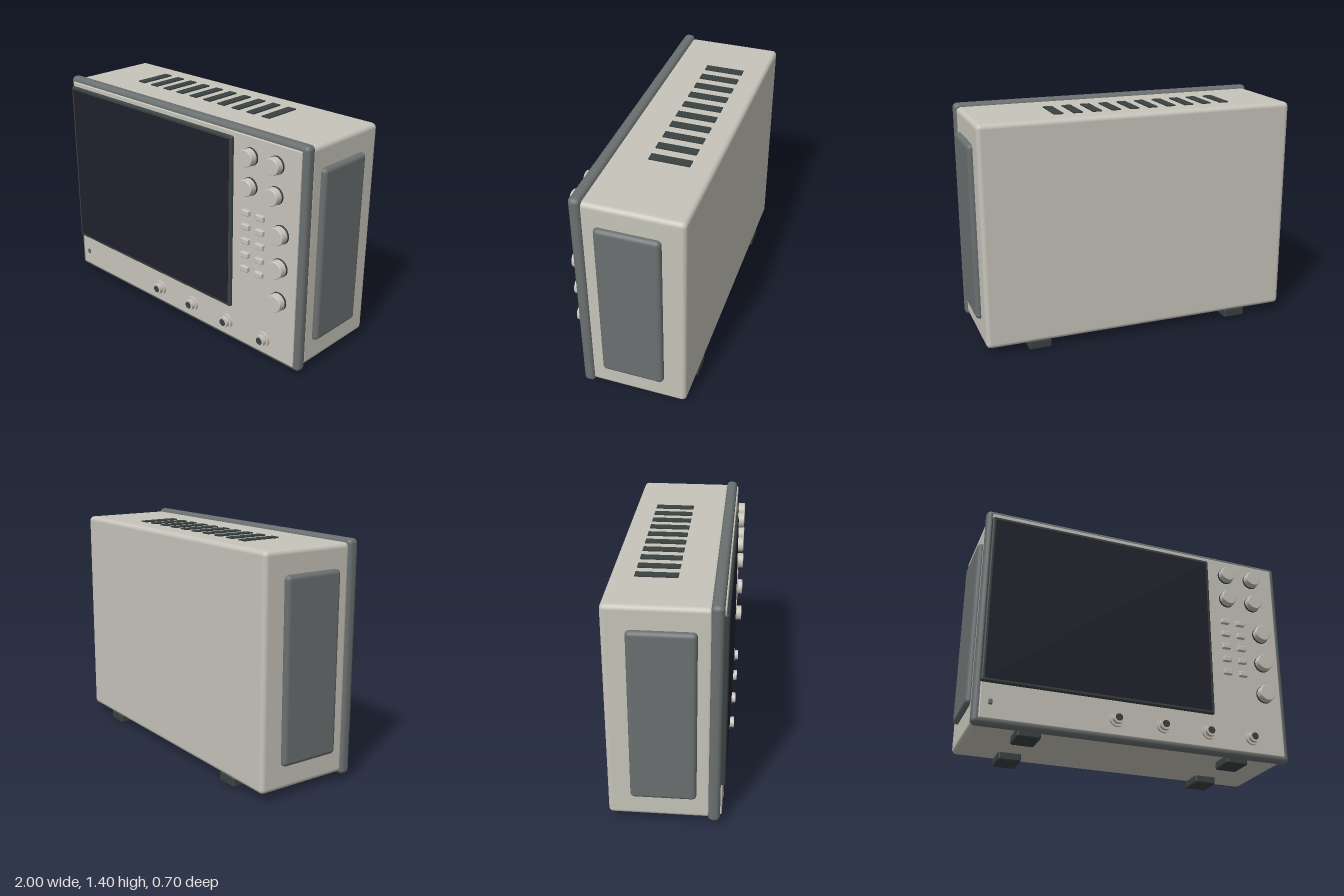
import * as THREE from 'three';
import { RoundedBoxGeometry } from 'three/addons/geometries/RoundedBoxGeometry.js';

const paint = (name, color) => {
  const m = new THREE.MeshStandardMaterial({ color });
  m.name = name;
  return m;
};

export function createModel() {
  const casing = paint('warm grey casing', 0xc6c4ba);
  const trim = paint('mid grey trim', 0x6a6f6f);
  const dark = paint('charcoal rubber', 0x3a4141);
  const glass = paint('dark screen glass', 0x20202d);

  const root = new THREE.Group();
  root.name = 'benchInstrument';

  const add = (parent, name, geometry, material, x, y, z) => {
    const mesh = new THREE.Mesh(geometry, material);
    mesh.name = name;
    mesh.position.set(x, y, z);
    parent.add(mesh);
    return mesh;
  };

  // Softened box given by its limits on each axis
  const block = (name, material, [x0, x1], [y0, y1], [z0, z1], radius) =>
    add(root, name, new RoundedBoxGeometry(x1 - x0, y1 - y0, z1 - z0, 3, radius), material,
      (x0 + x1) / 2, (y0 + y1) / 2, (z0 + z1) / 2);

  // Turned part facing +z, from [radius, z] profile points, with crisp steps
  const turned = (parent, name, material, profile) => {
    const g = new THREE.Group();
    g.name = name;
    for (let i = 0; i < profile.length - 1; i++) {
      const pts = [profile[i], profile[i + 1]].map(([r, z]) => new THREE.Vector2(r, z));
      const geo = new THREE.LatheGeometry(pts, 32).rotateX(Math.PI / 2);
      add(g, name + 'Face', geo, material, 0, 0, 0);
    }
    parent.add(g);
    return g;
  };

  // Main casing, front surround and front panel
  block('casing', casing, [-0.97, 0.97], [0.047, 1.38], [-0.348, 0.24], 0.028);
  block('frontSurround', trim, [-0.984, 0.984], [0.03, 1.4], [0.222, 0.291], 0.028);
  block('frontPanel', casing, [-0.948, 0.948], [0.06, 1.37], [0.25, 0.3], 0.006);

  // Display
  block('screenBezel', dark, [-0.953, 0.476], [0.27, 1.342], [0.28, 0.317], 0.012);
  add(root, 'screenGlass', new THREE.BoxGeometry(1.388, 1.032, 0.004), glass, -0.238, 0.806, 0.3165);

  // Rotary knobs on dark collars: [x, y, radius]
  const knobs = [
    [0.603, 1.257, 0.05], [0.786, 1.257, 0.05],
    [0.603, 1.083, 0.05], [0.786, 1.083, 0.05],
    [0.832, 0.866, 0.053], [0.832, 0.663, 0.053], [0.832, 0.452, 0.053],
  ];
  for (const [x, y, r] of knobs) {
    const knob = new THREE.Group();
    knob.name = 'knob';
    knob.position.set(x, y, 0);
    turned(knob, 'knobCollar', dark, [[r + 0.002, 0.295], [r + 0.002, 0.311], [0, 0.311]]);
    turned(knob, 'knobCap', casing,
      [[r, 0.31], [r - 0.002, 0.349], [r - 0.005, 0.352], [0, 0.352]]);
    root.add(knob);
  }

  // Two columns of push buttons
  for (const x of [0.581, 0.687])
    for (let row = 0; row < 5; row++) {
      const y = 0.92 - row * 0.088;
      block('pushButton', casing, [x - 0.028, x + 0.028], [y - 0.017, y + 0.017], [0.29, 0.322], 0.006);
    }

  // Coaxial input sockets along the bottom edge
  for (const x of [-0.15, 0.142, 0.435, 0.727]) {
    const socket = new THREE.Group();
    socket.name = 'inputSocket';
    socket.position.set(x, 0.157, 0);
    turned(socket, 'socketBody', casing,
      [[0.047, 0.295], [0.047, 0.315], [0.035, 0.315], [0.035, 0.34], [0.022, 0.34]]);
    turned(socket, 'socketCore', dark, [[0.023, 0.338], [0.022, 0.341], [0, 0.341]]);
    root.add(socket);
  }

  // Power switch
  block('powerSwitch', trim, [-0.9, -0.877], [0.142, 0.176], [0.29, 0.309], 0.007);

  // Side grip pads
  for (const s of [-1, 1]) {
    const pad = block('sidePad', trim, [0.94, 1], [0.187, 1.246], [-0.217, 0.157], 0.026);
    pad.position.x *= s;
  }

  // Top vent slots
  for (let i = 0; i < 10; i++)
    add(root, 'ventSlot', new THREE.BoxGeometry(0.056, 0.009, 0.238), dark,
      -0.589 + i * 0.117, 1.3825, -0.093);

  // Feet
  for (const x of [-0.647, 0.647])
    for (const z of [0.165, -0.268])
      block('foot', dark, [x - 0.07, x + 0.07], [0, 0.06], [z - 0.08, z + 0.08], 0.012);

  return root;
}
